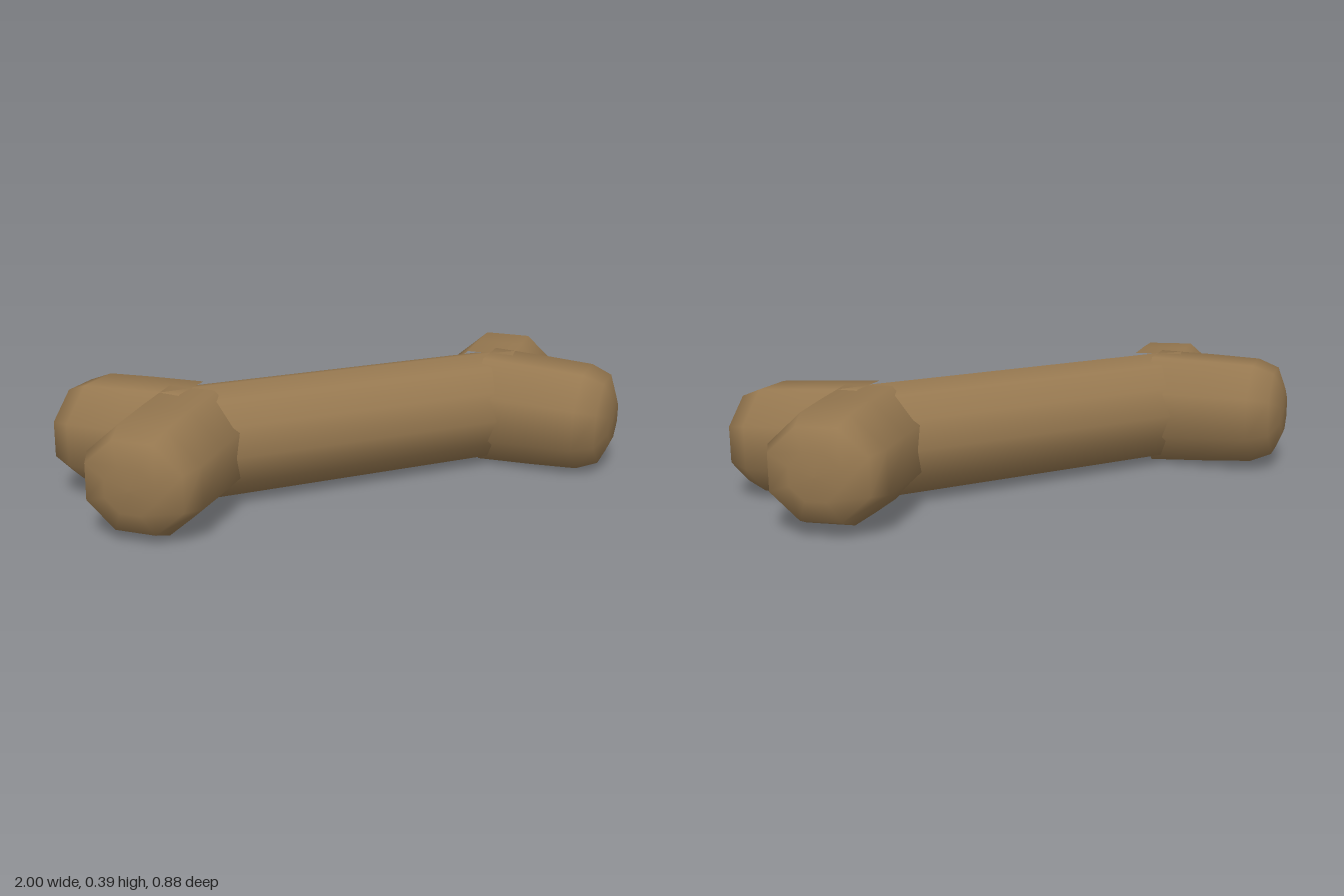
import * as THREE from 'three';

const boneBrown = new THREE.MeshStandardMaterial({ name: 'boneBrown', color: 0x967850 });

// Knob: blunt eight-sided lobe running along +z, slimmer in height towards its tip
function knobGeometry() {
  const profile = [[0.215, 0], [0.216, 0.2], [0.214, 0.37], [0.18, 0.444], [0.092, 0.476], [0, 0.478]]
    .map(([r, t]) => new THREE.Vector2(r, t));
  const geo = new THREE.LatheGeometry(profile, 8, Math.PI / 8);
  geo.rotateX(Math.PI / 2);
  const p = geo.attributes.position;
  for (let i = 0; i < p.count; i++) {
    const t = Math.min(p.getZ(i) / 0.37, 1);
    p.setY(i, p.getY(i) * (0.98 - 0.085 * t));
  }
  return geo;
}

export function createModel() {
  const bone = new THREE.Group();
  bone.name = 'bone';

  // Straight shaft, ends buried in the knobs
  const shaftGeo = new THREE.CylinderGeometry(0.205, 0.205, 1.16, 12, 1, true);
  shaftGeo.rotateZ(Math.PI / 2);
  shaftGeo.scale(1, 0.957, 1);
  const shaft = new THREE.Mesh(shaftGeo, boneBrown);
  shaft.name = 'shaft';
  bone.add(shaft);

  // Two knobs splayed at each end
  const knob = knobGeometry();
  for (const sx of [1, -1]) {
    for (const sz of [1, -1]) {
      const mesh = new THREE.Mesh(knob, boneBrown);
      mesh.name = (sz > 0 ? 'front' : 'back') + (sx > 0 ? 'Left' : 'Right') + 'Knob';
      mesh.position.x = sx * 0.58;
      mesh.rotation.y = Math.atan2(sx * 0.675, sz * 0.738);
      bone.add(mesh);
    }
  }

  // Slight roll about the long axis
  bone.rotation.x = 0.034;
  bone.position.y = 0.2;

  const model = new THREE.Group();
  model.add(bone);
  return model;
}
